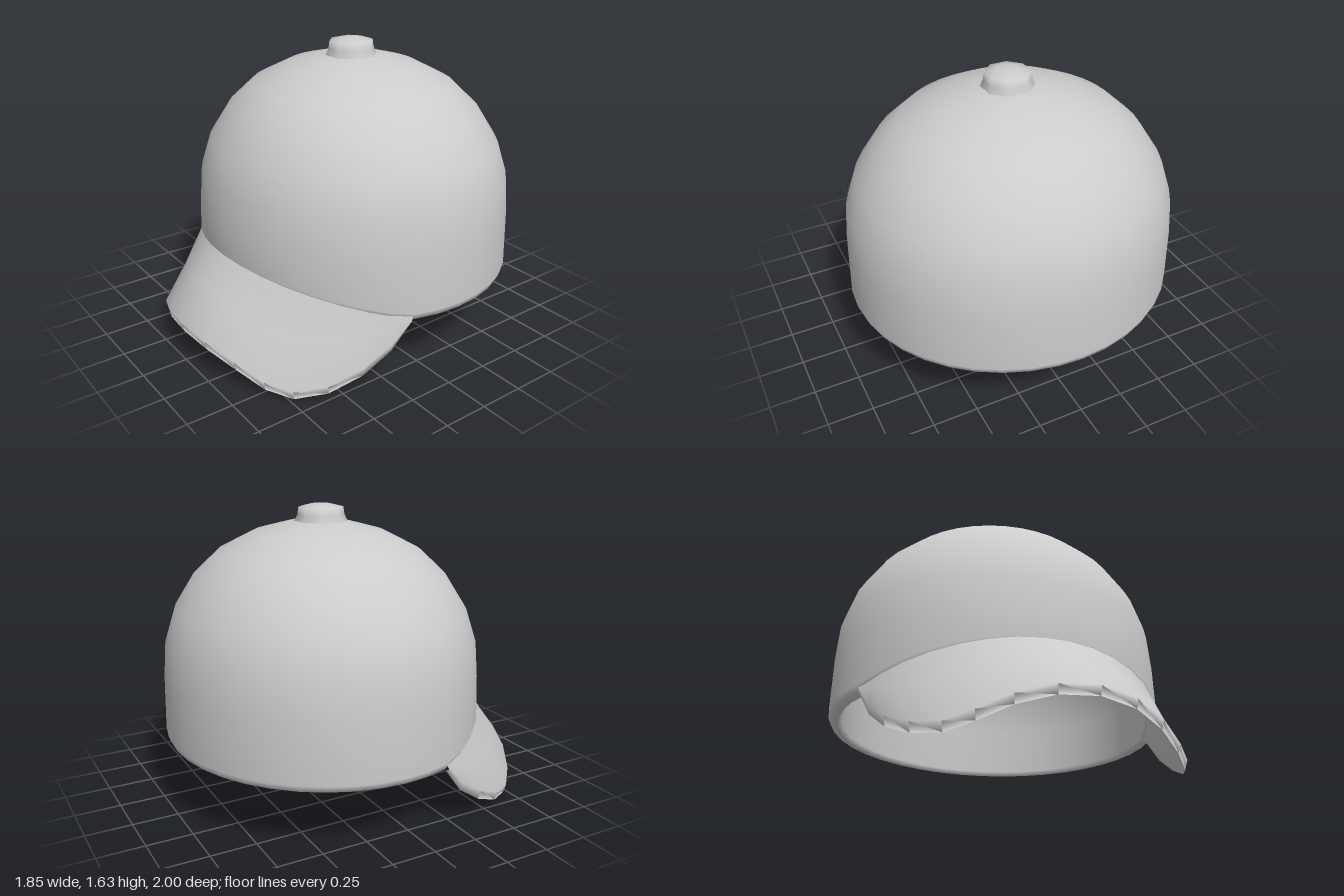
import * as THREE from 'three';

const SEG = 40;                       // steps around the crown
const RX = 0.925, RZ = 0.87, CZ = -0.125;
const FIRST = 2, LAST = 18;           // crown steps spanned by the brim
const angle = (j) => (j / SEG) * Math.PI * 2;

// Point on the crown's oval at step j, radius fraction r and height y
const ring = (j, r, y) =>
  new THREE.Vector3(RX * r * Math.cos(angle(j)), y, CZ + RZ * r * Math.sin(angle(j)));

// Lower edge of the crown: level at the back, arched over the brim
function baseY(j) {
  const s0 = Math.sin(angle(FIRST));
  const s = Math.max(0, (Math.sin(angle(j)) - s0) / (1 - s0));
  return 0.4 + 0.165 * Math.pow(s, 1.2);
}

// Smooth surface through rows of points
function loft(rows, closed) {
  const n = rows[0].length, index = [];
  for (let i = 0; i < rows.length - 1; i++) {
    for (let j = 0; j < (closed ? n : n - 1); j++) {
      const k = (j + 1) % n;
      const a = i * n + j, b = i * n + k, c = a + n, d = b + n;
      index.push(a, b, c, b, d, c);
    }
  }
  const geometry = new THREE.BufferGeometry().setFromPoints(rows.flat());
  geometry.setIndex(index);
  geometry.computeVertexNormals();
  return geometry;
}

export function createModel() {
  const cap = new THREE.Group();
  cap.name = 'cap';
  const cloth = new THREE.MeshStandardMaterial({ color: 0xcccccc });
  cloth.name = 'light grey cloth';
  const add = (name, geometry) => {
    const mesh = new THREE.Mesh(geometry, cloth);
    mesh.name = name;
    cap.add(mesh);
    return mesh;
  };

  // Crown: outer dome, bevelled rim, then the inner lining
  const dome = [[0.005, 1.552], [0.2, 1.535], [0.41, 1.485], [0.63, 1.385], [0.785, 1.255],
    [0.91, 1.08], [0.975, 0.9], [0.993, 0.7]];
  const steps = Array.from({ length: SEG }, (_, j) => j);
  const outer = dome.map(([r, y]) => steps.map((j) => ring(j, r, y)));
  const rim = [[1, 0], [0.985, -0.035], [0.945, -0.045], [0.925, -0.02]]
    .map(([r, dy]) => steps.map((j) => ring(j, r, baseY(j) + dy)));
  const lining = dome.map(([r, y]) => steps.map((j) => ring(j, r * 0.94, y - 0.05))).reverse();
  add('crown', loft([...outer, ...rim, ...lining], true));

  // Brim: drooping curved edge, thinning towards both ends
  const half = [[0.86, 0.35, 0.15], [0.83, 0.18, 0.29], [0.78, 0.07, 0.49], [0.67, 0, 0.69],
    [0.54, 0.035, 0.82], [0.36, 0.12, 0.92], [0.13, 0.175, 0.99]];
  const edge = new THREE.CatmullRomCurve3([
    ...half.map((p) => new THREE.Vector3(...p)),
    ...half.map(([x, y, z]) => new THREE.Vector3(-x, y, z)).reverse(),
  ]);
  const count = LAST - FIRST;
  const brimRows = [[], [], [], [], [], []];
  for (let i = 0; i <= count; i++) {
    const j = FIRST + i;
    const thick = 0.05 * Math.min(1, 0.2 + 3 * Math.sin((Math.PI * i) / count));
    const low = edge.getPoint(i / count);
    const high = low.clone().add(new THREE.Vector3(low.x * 0.015, thick, 0.01));
    const root = ring(j, 0.985, baseY(j) + 0.01);
    const under = ring(j, 0.94, baseY(j) - 0.045);
    [root, root.clone().lerp(high, 0.5), high, low, low.clone().lerp(under, 0.5), under]
      .forEach((p, row) => brimRows[row].push(p));
  }
  add('brim', loft(brimRows, false));

  // Button on top
  const profile = [[0.15, -0.02], [0.128, 0.03], [0.122, 0.07], [0.06, 0.085], [0, 0.088]];
  const button = add('button',
    new THREE.LatheGeometry(profile.map(([r, y]) => new THREE.Vector2(r, y)), 8, Math.PI / 8));
  button.position.set(0.005, 1.545, -0.11);

  return cap;
}
